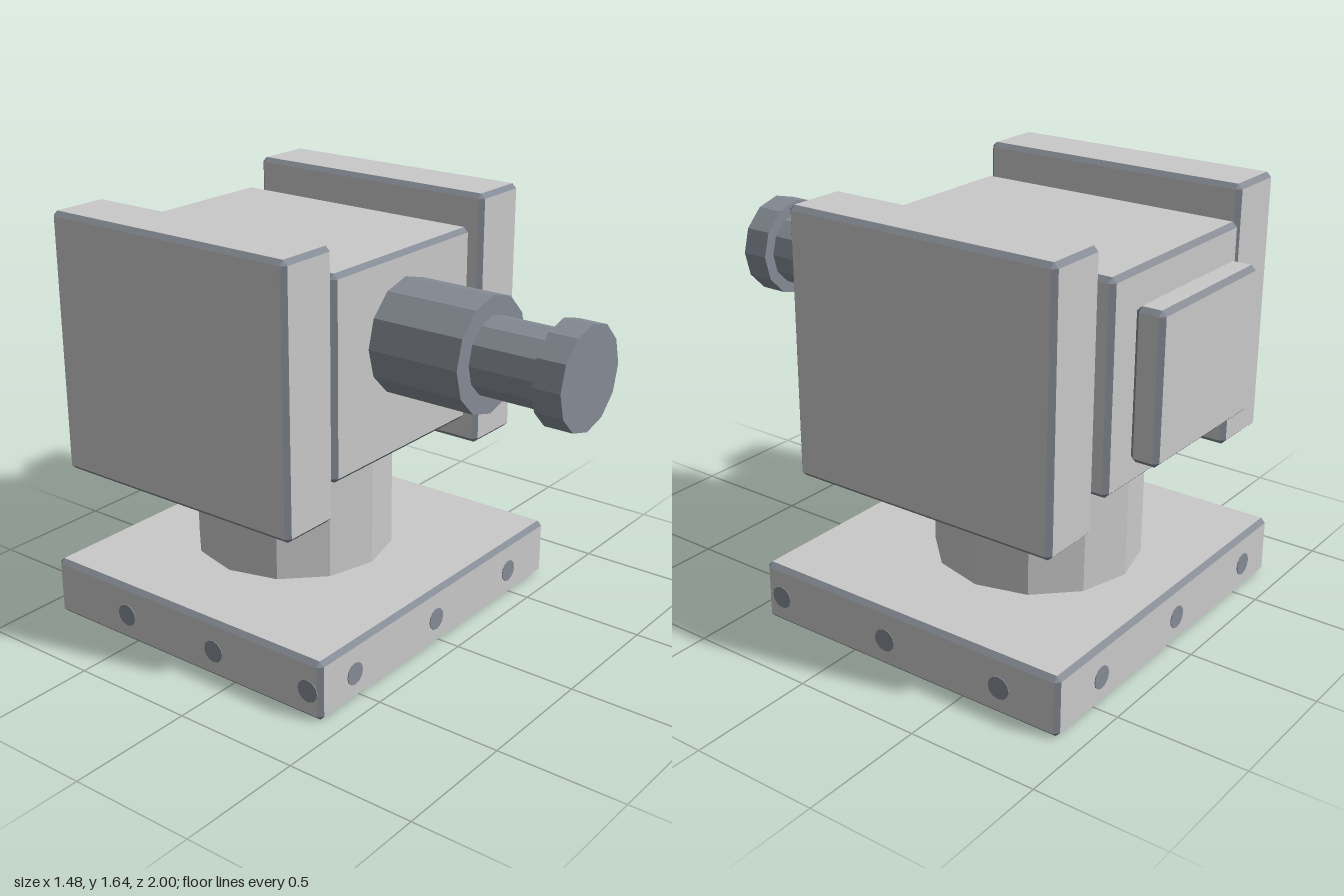
import * as THREE from 'three';
import { ConvexGeometry } from 'three/addons/geometries/ConvexGeometry.js';

export function createModel() {
  const model = new THREE.Group();
  model.name = 'turret';

  const lightGrey = new THREE.MeshStandardMaterial({ color: 0xc9c9c9, flatShading: true });
  lightGrey.name = 'light grey';
  const slate = new THREE.MeshStandardMaterial({ color: 0x868c95, flatShading: true });
  slate.name = 'slate grey';

  function add(name, geometry, material, x, y, z) {
    const mesh = new THREE.Mesh(geometry, material);
    mesh.name = name;
    mesh.position.set(x, y, z);
    model.add(mesh);
    return mesh;
  }

  // Box between two corners, with chamfered edges in the slate colour
  function chamferBox(name, min, max, bevel = 0.018) {
    const half = min.map((v, i) => (max[i] - v) / 2);
    const mid = min.map((v, i) => (max[i] + v) / 2);
    const points = [];
    for (const sx of [-1, 1]) for (const sy of [-1, 1]) for (const sz of [-1, 1]) {
      const s = [sx, sy, sz];
      for (let axis = 0; axis < 3; axis++) {
        points.push(new THREE.Vector3(...s.map((v, i) => v * (half[i] - (i === axis ? 0 : bevel)))));
      }
    }
    const geometry = new ConvexGeometry(points);
    const normal = geometry.attributes.normal;
    for (let i = 0; i < normal.count; i += 3) {
      const n = [normal.getX(i), normal.getY(i), normal.getZ(i)].map(Math.abs);
      geometry.addGroup(i, 3, Math.max(...n) > 0.99 ? 0 : 1);
    }
    return add(name, geometry, [lightGrey, slate], ...mid);
  }

  // Base slab and pedestal
  chamferBox('base', [-0.737, 0, -0.911], [0.737, 0.235, 0.421]);
  add('pedestal', new THREE.CylinderGeometry(0.396, 0.396, 0.5, 12), lightGrey, 0, 0.47, -0.31);

  // Head with side armour and rear plate
  chamferBox('head', [-0.413, 0.748, -0.868], [0.413, 1.522, 0.232]);
  chamferBox('leftArmour', [0.45, 0.63, -0.843], [0.704, 1.64, 0.257]);
  chamferBox('rightArmour', [-0.704, 0.63, -0.843], [-0.45, 1.64, 0.257]);
  chamferBox('rearPlate', [-0.319, 0.862, -1], [0.319, 1.412, -0.89]);

  // Barrel sections: radius, rear z, front z
  const sections = [
    ['barrelSleeve', 0.22, 0.22, 0.608],
    ['barrelTube', 0.147, 0.608, 0.888],
    ['barrelMuzzle', 0.194, 0.888, 1],
  ];
  for (const [name, radius, z0, z1] of sections) {
    const geometry = new THREE.CylinderGeometry(radius, radius, z1 - z0, 12).rotateX(Math.PI / 2);
    add(name, geometry, slate, 0, 1.205, (z0 + z1) / 2);
  }

  // Flush bolts around the base
  const bolt = new THREE.CylinderGeometry(0.044, 0.044, 0.008, 12).rotateX(Math.PI / 2);
  const boltY = 0.11;
  for (const x of [-0.543, -0.037, 0.47]) {
    add('frontBolt', bolt, slate, x, boltY, 0.42);
    add('backBolt', bolt, slate, x, boltY, -0.91);
  }
  for (const z of [0.343, -0.162, -0.668]) {
    add('leftBolt', bolt, slate, 0.736, boltY, z).rotation.y = Math.PI / 2;
  }
  for (const z of [0.362, -0.085, -0.532]) {
    add('rightBolt', bolt, slate, -0.736, boltY, z).rotation.y = Math.PI / 2;
  }

  return model;
}
